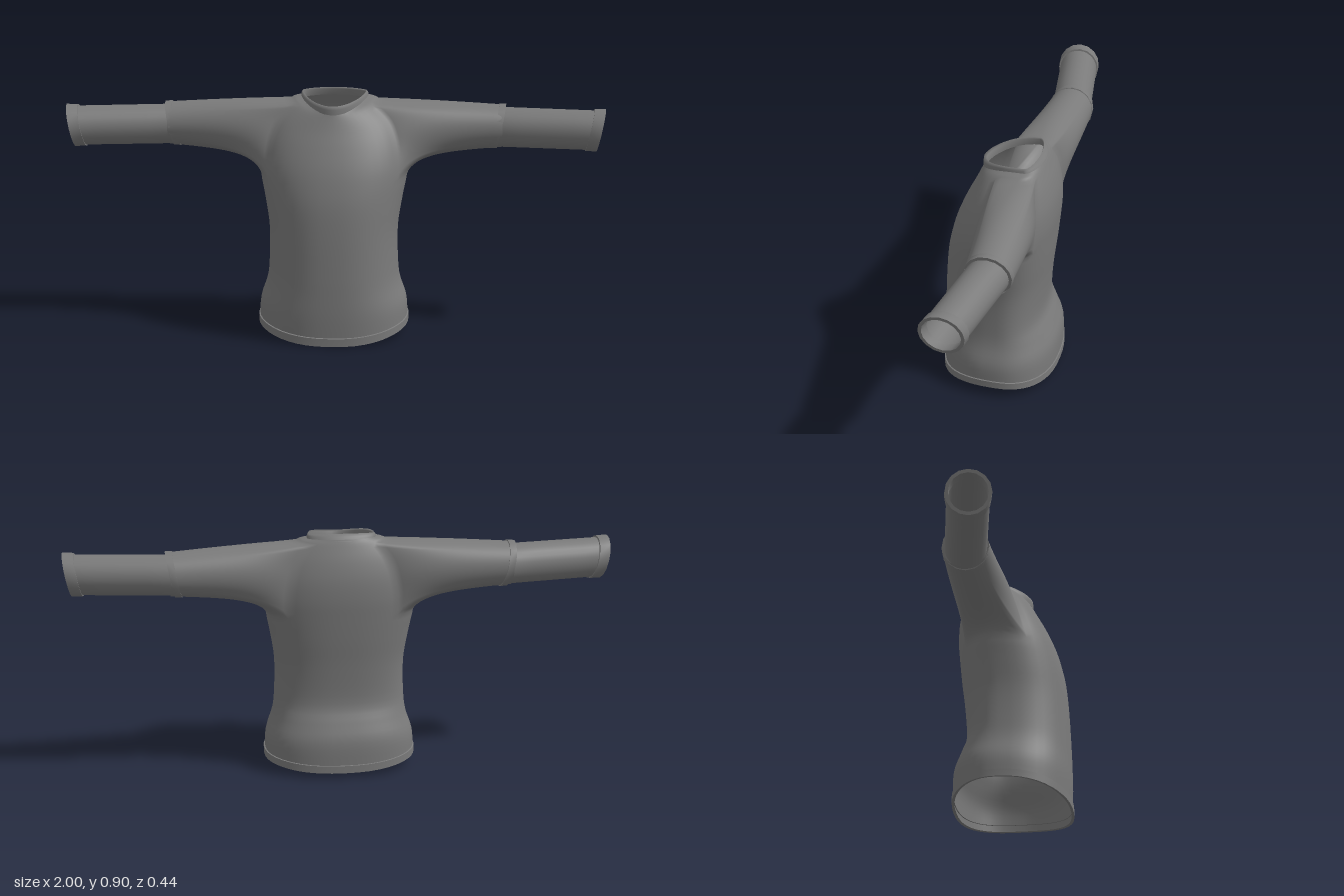
import * as THREE from 'three';
import { mergeGeometries, mergeVertices } from 'three/addons/utils/BufferGeometryUtils.js';

const cloth = new THREE.MeshStandardMaterial({ color: 0x7a7a7a, side: THREE.DoubleSide });
cloth.name = 'grey cloth';

const COLS = 48, SUB = 4;          // body columns, rows per control section
const HOLE = { c0: 8, c1: 18, r0: 6 * SUB, r1: 10 * SUB }; // armhole on the +x side

// Skin closed rings of points; skip(i, j) leaves a cell open
function loft(rings, { mirror = false, skip = () => false } = {}) {
  const n = rings[0].length, pos = [], idx = [];
  rings.forEach(r => r.forEach(p => pos.push(mirror ? -p.x : p.x, p.y, p.z)));
  for (let j = 0; j < rings.length - 1; j++) for (let i = 0; i < n; i++) {
    if (skip(i, j)) continue;
    const k = (i + 1) % n, a = j * n + i, b = j * n + k, c = b + n, d = a + n;
    if (mirror) idx.push(a, c, b, a, d, c);
    else idx.push(a, b, c, a, c, d);
  }
  const g = new THREE.BufferGeometry();
  g.setAttribute('position', new THREE.Float32BufferAttribute(pos, 3));
  g.setIndex(idx);
  return g;
}

// Torso sections: y at side, front, back; half width; z front, back, widest; roundness
const SECTIONS = [
  [0.045, 0.005, 0.022, 0.278, 0.215, -0.214, -0.03, 0.85],
  [0.125, 0.105, 0.130, 0.274, 0.218, -0.213, -0.03, 0.85],
  [0.200, 0.195, 0.200, 0.250, 0.217, -0.190, -0.03, 0.85],
  [0.270, 0.270, 0.270, 0.241, 0.215, -0.166, -0.03, 0.85],
  [0.400, 0.400, 0.400, 0.239, 0.209, -0.173, -0.03, 0.85],
  [0.510, 0.510, 0.510, 0.255, 0.199, -0.186, -0.04, 0.87],
  [0.600, 0.590, 0.600, 0.272, 0.182, -0.195, -0.05, 0.90],
  [0.670, 0.655, 0.670, 0.275, 0.161, -0.200, -0.06, 0.92],
  [0.745, 0.720, 0.740, 0.262, 0.132, -0.197, -0.07, 0.95],
  [0.815, 0.775, 0.805, 0.230, 0.104, -0.183, -0.08, 1.00],
  [0.871, 0.818, 0.860, 0.165, 0.084, -0.163, -0.09, 1.00],
  [0.884, 0.840, 0.886, 0.125, 0.075, -0.152, -0.10, 1.05],
];
const COLLAR = [
  [0.880, 0.836, 0.880, 0.126, 0.078, -0.155, -0.10, 1.05],
  [0.892, 0.854, 0.895, 0.124, 0.078, -0.146, -0.10, 1.05],
  [0.899, 0.868, 0.904, 0.119, 0.076, -0.135, -0.10, 1.05],
  [0.894, 0.864, 0.898, 0.113, 0.066, -0.132, -0.10, 1.05],
  [0.870, 0.836, 0.875, 0.116, 0.064, -0.140, -0.10, 1.05],
];
const HEM = [
  [0.068, 0.032, 0.048, 0.274, 0.214, -0.211, -0.03, 0.85],
  [0.066, 0.030, 0.046, 0.282, 0.221, -0.218, -0.03, 0.85],
  [0.040, 0.000, 0.018, 0.282, 0.221, -0.218, -0.03, 0.85],
  [0.041, 0.002, 0.020, 0.272, 0.211, -0.208, -0.03, 0.85],
].reverse();

// One ring, starting at the front centre and turning towards +x
function bodyRing([ys, yf, yb, hw, zf, zb, zm, p]) {
  return Array.from({ length: COLS }, (_, i) => {
    const a = i / COLS * Math.PI * 2, s = Math.sin(a), c = Math.cos(a);
    const pw = v => Math.abs(v) < 1e-9 ? 0 : Math.sign(v) * Math.abs(v) ** p;
    return new THREE.Vector3(
      hw * pw(s),
      ys + ((c > 0 ? yf : yb) - ys) * c * c,
      zm + (c > 0 ? zf - zm : zm - zb) * pw(c));
  });
}

function bodyRings() {
  const curve = new THREE.CubicInterpolant(SECTIONS.map((_, i) => i), SECTIONS.flat(), 8, new Float32Array(8));
  const rows = (SECTIONS.length - 1) * SUB;
  return Array.from({ length: rows + 1 }, (_, j) => bodyRing([...curve.evaluate(j / SUB)]));
}

// Torso with armholes, flowing into both upper sleeves
function jerseyBody() {
  const rings = bodyRings(), { c0, c1, r0, r1 } = HOLE;
  const inHole = (i, j) => j >= r0 && j < r1 && i >= c0 && i < c1;
  const parts = [loft(rings, { skip: (i, j) => inHole(i, j) || inHole(COLS - 1 - i, j) })];

  // armhole edge: over the top, down the front, along below, up the back
  const edge = [];
  for (let c = c1; c > c0; c--) edge.push([c, r1]);
  for (let r = r1; r > r0; r--) edge.push([c0, r]);
  for (let c = c0; c < c1; c++) edge.push([c, r0]);
  for (let r = r0; r < r1; r++) edge.push([c1, r]);
  const strands = edge.map(([c, r]) => {
    const a = Math.atan2((r - (r0 + r1) / 2) / (r1 - r0), ((c0 + c1) / 2 - c) / (c1 - c0));
    const on = (x, y, ry, z, rz) => new THREE.Vector3(x, y + ry * Math.sin(a), z + rz * Math.cos(a));
    return new THREE.CubicBezierCurve3(
      rings[r][c],
      on(0.295, 0.768, 0.101, -0.085, 0.107),
      on(0.45, 0.768, 0.092, -0.1, 0.089),
      on(0.62, 0.769, 0.079, -0.105, 0.083));
  });
  const sleeve = Array.from({ length: 17 }, (_, j) => strands.map(s => s.getPoint(j / 16)));
  parts.push(loft(sleeve), loft(sleeve, { mirror: true }));
  return mergeVertices(mergeGeometries(parts), 1e-4);
}

// Round rings about a centre line in x; each station is [x, y, z, radius]
function tube(stations, slant, turn, mirror, sides) {
  return loft(stations.map(([x, y, z, r]) => Array.from({ length: sides }, (_, i) => {
    const a = -i / sides * Math.PI * 2, s = Math.sin(a), c = Math.cos(a);
    return new THREE.Vector3(x + r * (slant * s - turn * c), y + r * s, z + r * c);
  })), { mirror });
}

export function createModel() {
  const model = new THREE.Group();
  model.name = 'longSleeveTop';
  const add = (name, geometry, creased = false) => {
    // banded trims keep a crisp edge between their faces
    const g = creased ? geometry.toNonIndexed() : geometry;
    if (!creased) g.computeVertexNormals();
    else bandNormals(g);
    const mesh = new THREE.Mesh(g, cloth);
    mesh.name = name;
    model.add(mesh);
  };

  add('bodyAndUpperSleeves', jerseyBody());
  add('collar', loft(COLLAR.map(bodyRing)));
  // trims are lofted strip by strip so edges stay sharp
  const strips = (rings, make) => mergeGeometries(rings.slice(1).map((r, i) => make([rings[i], r])));
  add('hemBand', strips(HEM, pair => loft(pair.map(bodyRing))));

  for (const [side, mirror] of [['left', false], ['right', true]]) {
    // forearm angles slightly forward
    const forearm = [0, 0.25, 0.5, 0.75, 1].map(t => [0.6 + 0.375 * t, 0.765, -0.106 + 0.055 * t, 0.074 - 0.001 * t]);
    add(side + 'Forearm', tube(forearm, 0.15, 0.1, mirror, 24));

    const elbow = [[0.594, 0.769, -0.106, 0.078], [0.594, 0.768, -0.106, 0.085],
      [0.619, 0.768, -0.105, 0.084], [0.619, 0.767, -0.105, 0.073]];
    add(side + 'ElbowBand', strips(elbow, p => tube(p, 0.2, 0.03, mirror, 16)));

    const wrist = [[0.943, 0.766, -0.056, 0.072], [0.943, 0.766, -0.056, 0.079],
      [0.983, 0.766, -0.05, 0.08], [0.983, 0.766, -0.05, 0.068], [0.945, 0.766, -0.056, 0.067]];
    add(side + 'Cuff', strips(wrist, p => tube(p, 0.2, 0.06, mirror, 16)));
  }
  return model;
}

function bandNormals(g) { g.computeVertexNormals(); }
